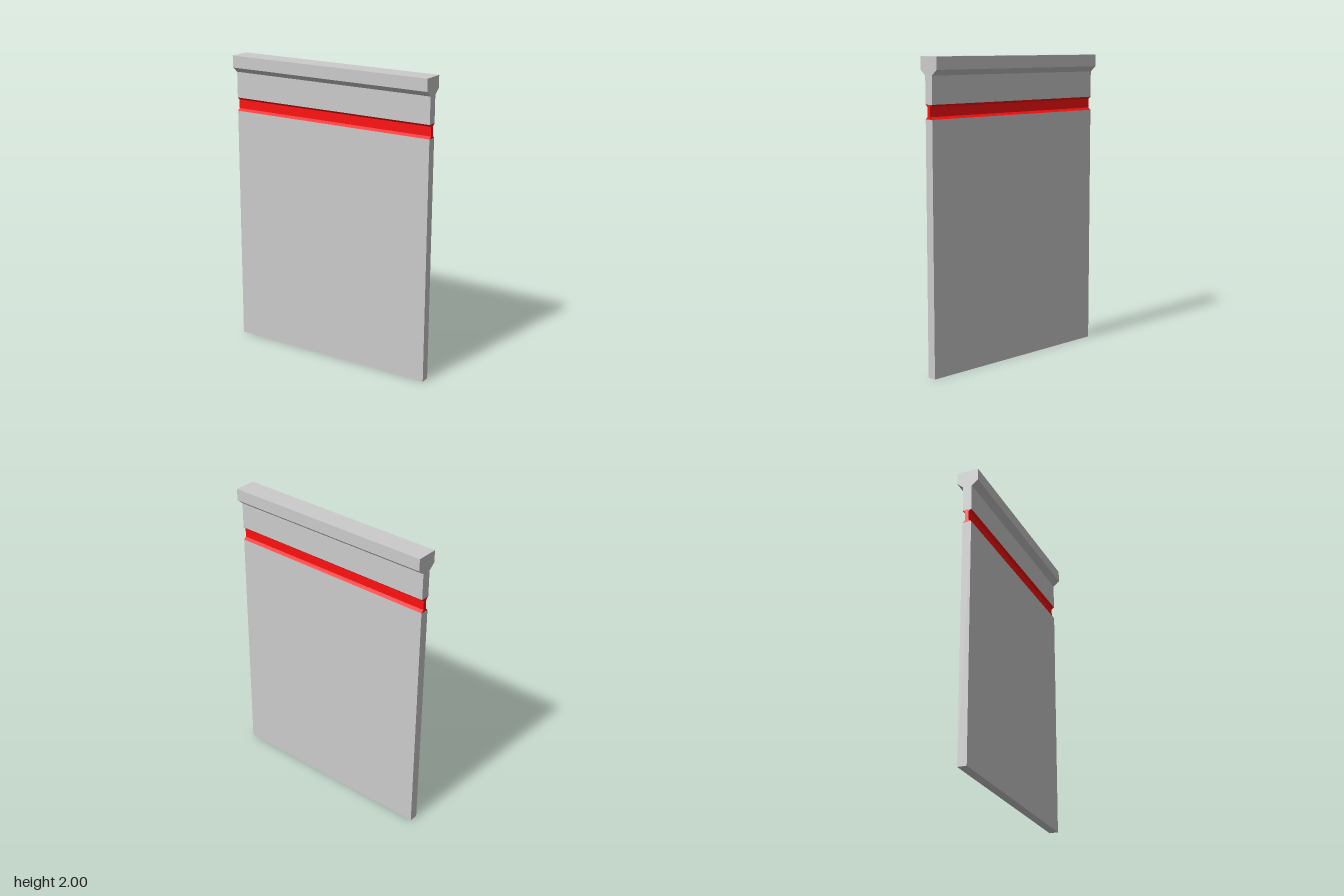
import * as THREE from 'three';

const HALF_WIDTH = 0.73;

// Extrudes a symmetric profile, given as [half thickness, height] from bottom to top, along x.
function slab(name, profile, color) {
  const right = profile.map(([t, y]) => new THREE.Vector2(t, y));
  const left = profile.map(([t, y]) => new THREE.Vector2(-t, y)).reverse();
  const geometry = new THREE.ExtrudeGeometry(new THREE.Shape([...right, ...left]), {
    depth: HALF_WIDTH * 2,
    bevelEnabled: false,
  });
  geometry.translate(0, 0, -HALF_WIDTH);
  geometry.rotateY(Math.PI / 2);
  const mesh = new THREE.Mesh(geometry, new THREE.MeshStandardMaterial({ color, flatShading: true }));
  mesh.name = name;
  return mesh;
}

export function createModel() {
  const group = new THREE.Group();
  group.name = 'panel';
  group.add(
    // Large flat lower board
    slab('lowerPanel', [[0.03, 0], [0.03, 1.62]], 0xcccccc),
    // Red recessed groove with sloping lips
    slab('redGroove', [[0.03, 1.62], [0.012, 1.635], [0.012, 1.695], [0.03, 1.71]], 0xff1010),
    // Upper board widening into the top rail
    slab('topRail', [[0.03, 1.71], [0.03, 1.885], [0.073, 1.92], [0.073, 2]], 0xcccccc),
  );
  return group;
}
